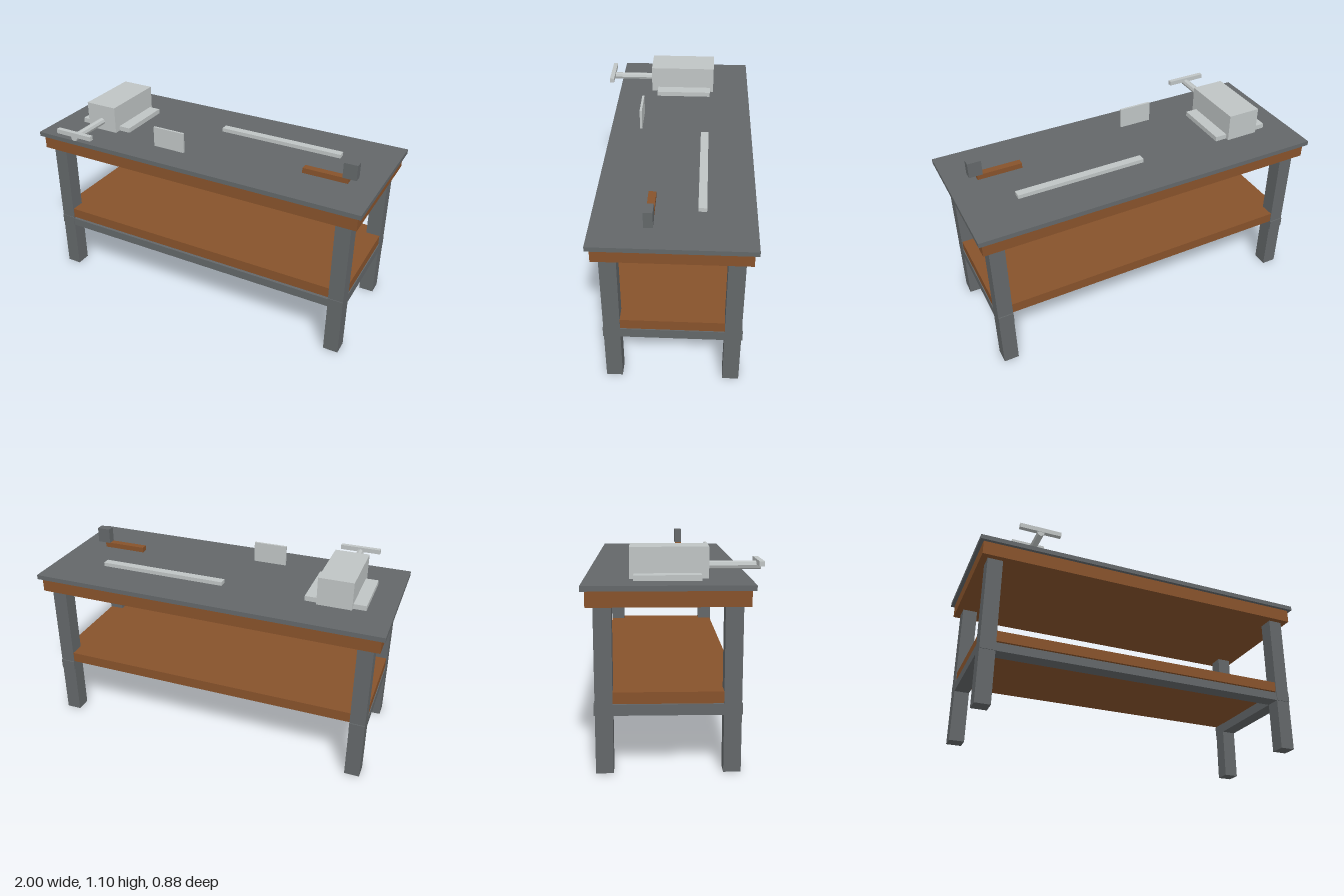
import * as THREE from 'three';

const steel = new THREE.MeshStandardMaterial({ color: 0x636769 });
steel.name = 'dark steel';
const wood = new THREE.MeshStandardMaterial({ color: 0x87522b });
wood.name = 'brown wood';
const metal = new THREE.MeshStandardMaterial({ color: 0xbfc4c4 });
metal.name = 'light metal';

// Box given by its extents along each axis
function box(name, material, [x0, x1], [y0, y1], [z0, z1]) {
  const mesh = new THREE.Mesh(new THREE.BoxGeometry(x1 - x0, y1 - y0, z1 - z0), material);
  mesh.position.set((x0 + x1) / 2, (y0 + y1) / 2, (z0 + z1) / 2);
  mesh.name = name;
  return mesh;
}

function group(name, ...parts) {
  const g = new THREE.Group();
  g.name = name;
  g.add(...parts);
  return g;
}

export function createModel() {
  const TOP = 0.942;

  // Worktop on a solid wooden apron
  const table = group('table',
    box('worktop', steel, [-1, 1], [0.916, TOP], [-0.442, 0.379]),
    box('apron', wood, [-0.98, 0.98], [0.837, 0.916], [-0.422, 0.36]),
    box('shelf', wood, [-0.94, 0.94], [0.355, 0.414], [-0.385, 0.322]),
    box('frontRail', steel, [-0.86, 0.86], [0.297, 0.345], [0.24, 0.327]));

  // Legs and side rails, mirrored left and right
  for (const side of [-1, 1]) {
    const label = side > 0 ? 'left' : 'right';
    const span = side > 0 ? [0.859, 0.944] : [-0.944, -0.859];
    table.add(
      box(label + 'FrontLeg', steel, span, [0, 0.837], [0.24, 0.327]),
      box(label + 'BackLeg', steel, span, [0, 0.837], [-0.388, -0.301]),
      box(label + 'SideRail', steel, span, [0.297, 0.353], [-0.394, 0.331]));
  }

  // Bench vise with an eight-sided screw and a crossbar handle
  const screw = new THREE.Mesh(
    new THREE.CylinderGeometry(0.021, 0.021, 0.267, 8).rotateX(Math.PI / 2).toNonIndexed(), metal);
  screw.geometry.computeVertexNormals();
  screw.position.set(-0.688, 0.998, 0.306);
  screw.name = 'viseScrew';
  const vise = group('vise',
    box('viseBase', metal, [-0.855, -0.521], [TOP, 0.97], [-0.197, 0.134]),
    box('viseBody', metal, [-0.784, -0.591], [TOP, 1.099], [-0.218, 0.173]),
    screw,
    box('viseHandle', metal, [-0.806, -0.572], [1.003, 1.029], [0.416, 0.442]));

  // Hammer standing on its handle end
  const hammer = group('hammer',
    box('hammerHandle', wood, [0.578, 0.834], [TOP, 0.972], [0.067, 0.107]),
    box('hammerHead', steel, [0.803, 0.88], [0.972, 1.06], [0.063, 0.11]));

  return group('workbench', table, vise, hammer,
    box('metalPlate', metal, [-0.295, -0.101], [TOP, 1.06], [0.197, 0.21]),
    box('ruler', metal, [-0.042, 0.7], [TOP, 0.964], [-0.193, -0.149]));
}
